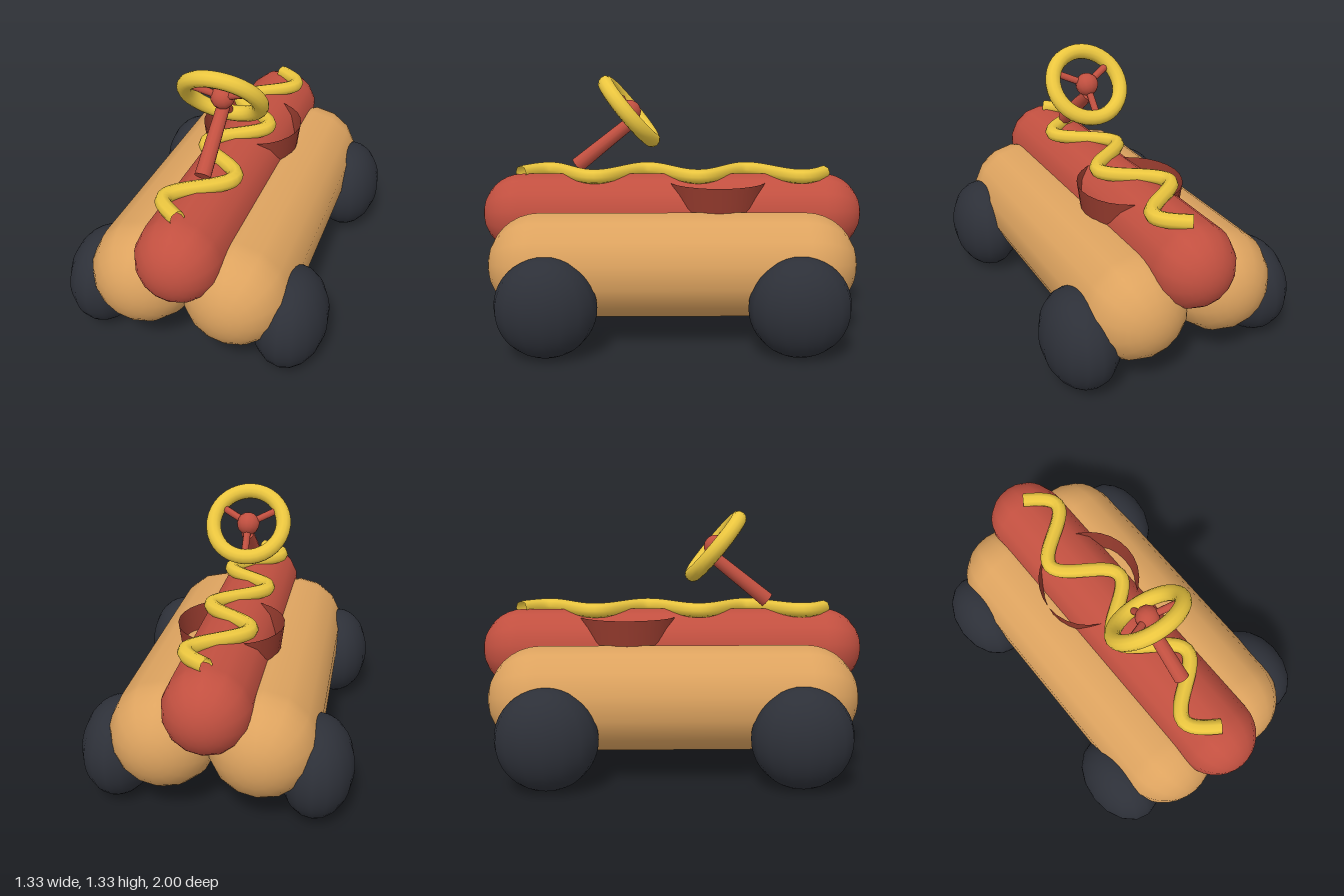
import * as THREE from 'three';

const paint = (color, side = THREE.FrontSide) =>
  new THREE.MeshStandardMaterial({ color, side });

function part(parent, name, geometry, material) {
  const mesh = new THREE.Mesh(geometry, material);
  mesh.name = name;
  parent.add(mesh);
  return mesh;
}

// Capsule lying along z, with one lengthwise edge on top
function lyingCapsule(radius, length) {
  return new THREE.CapsuleGeometry(radius, length - 2 * radius, 8, 14)
    .rotateY(Math.PI / 2).rotateX(Math.PI / 2);
}

// Round bar between two points
function bar(a, b, radiusA, radiusB, sides) {
  const dir = b.clone().sub(a);
  const geometry = new THREE.CylinderGeometry(radiusB, radiusA, dir.length(), sides);
  geometry.applyQuaternion(new THREE.Quaternion().setFromUnitVectors(
    new THREE.Vector3(0, 1, 0), dir.clone().normalize()));
  const mid = a.clone().add(b).multiplyScalar(0.5);
  return geometry.translate(mid.x, mid.y, mid.z);
}

export function createModel() {
  const model = new THREE.Group();
  model.name = 'hotDogCar';
  const bread = paint(0xdda35f);
  const red = paint(0xc25040);
  const yellow = paint(0xebc63f, THREE.DoubleSide);
  const rubber = paint(0x2d3038);
  const seatRed = paint(0x943a2d, THREE.DoubleSide);

  // Body: two bun halves with the sausage between them
  for (const [side, name] of [[1, 'leftBun'], [-1, 'rightBun']]) {
    part(model, name, lyingCapsule(0.267, 1.87), bread).position.set(side * 0.235, 0.398, 0);
  }
  part(model, 'sausage', lyingCapsule(0.21, 2), red).position.y = 0.615;

  // Flattened ball wheels
  const wheelGeometry = new THREE.SphereGeometry(0.25, 16, 20).scale(0.72, 1, 1);
  for (const x of [0.485, -0.485]) {
    for (const z of [0.615, -0.615]) {
      const name = (z > 0 ? 'front' : 'rear') + (x > 0 ? 'Left' : 'Right') + 'Wheel';
      part(model, name, wheelGeometry, rubber).position.set(x, 0.253, z);
    }
  }

  // Seat rim: open tapered ring sunk into the body
  part(model, 'seatRim', new THREE.CylinderGeometry(0.266, 0.235, 0.25, 28, 1, true), seatRed)
    .position.set(0, 0.667, -0.235);

  // Wavy mustard stripe: three full waves
  const wave = [];
  for (let i = 0; i <= 48; i++) {
    const t = i / 48;
    wave.push(new THREE.Vector3(0.125 * Math.sin(t * Math.PI * 6), 0.83, -0.8 + 1.6 * t));
  }
  part(model, 'mustard',
    new THREE.TubeGeometry(new THREE.CatmullRomCurve3(wave), 96, 0.038, 8), yellow);

  // Steering column
  part(model, 'steeringColumn', bar(
    new THREE.Vector3(0, 0.87, 0.5), new THREE.Vector3(0, 1.105, 0.205), 0.04, 0.033, 12), red);

  // Tilted steering wheel with hub and three spokes
  const steering = new THREE.Group();
  steering.name = 'steeringWheel';
  steering.position.set(0, 1.153, 0.223);
  steering.rotation.x = 0.69;
  model.add(steering);
  part(steering, 'steeringRim', new THREE.TorusGeometry(0.188, 0.04, 12, 36), yellow);
  part(steering, 'steeringHub', new THREE.SphereGeometry(0.06, 12, 10), red);
  for (let i = 0; i < 3; i++) {
    const angle = Math.PI / 6 + i * Math.PI * 2 / 3;
    const end = new THREE.Vector3(Math.cos(angle), Math.sin(angle), 0).multiplyScalar(0.185);
    part(steering, 'spoke', bar(new THREE.Vector3(), end, 0.019, 0.019, 8), red);
  }

  return model;
}
